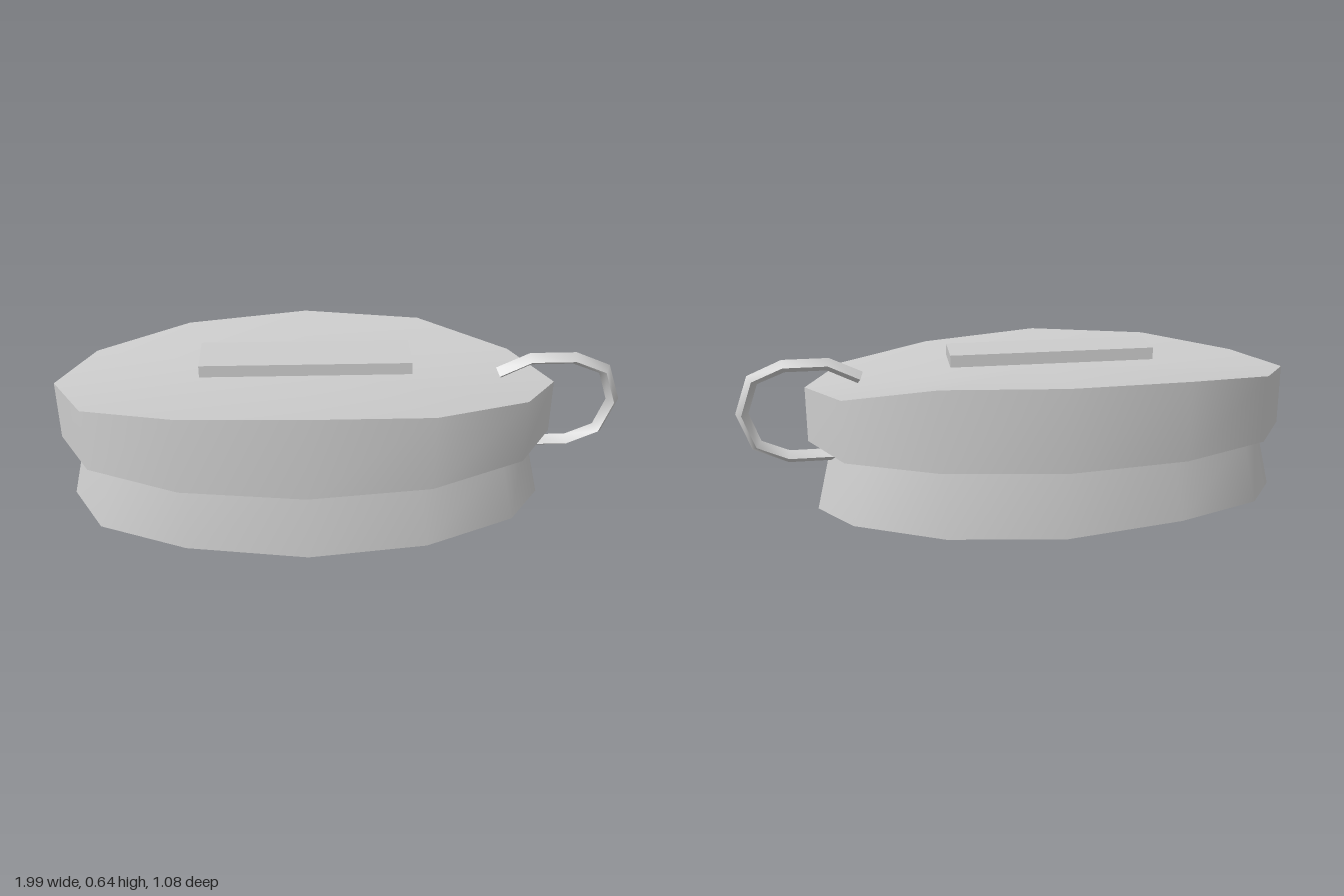
import * as THREE from 'three';
import { toCreasedNormals } from 'three/addons/utils/BufferGeometryUtils.js';

const CREASE = 0.8;
const CENTRE_X = -0.13;

// Twelve-sided outline: x, z, lid top height, lid bottom height, base bottom height
const OUTLINE = [
  [-1.0, -0.4, 0.525, 0.285, 0.015], [-0.79, -0.54, 0.55, 0.28, 0.025],
  [-0.4, -0.54, 0.59, 0.277, 0.03], [0.06, -0.41, 0.605, 0.28, 0.015],
  [0.45, -0.16, 0.6, 0.28, 0.012], [0.71, 0.12, 0.53, 0.285, 0.025],
  [0.74, 0.4, 0.515, 0.295, 0.005], [0.53, 0.535, 0.55, 0.29, 0.02],
  [0.14, 0.535, 0.585, 0.28, 0.015], [-0.3, 0.39, 0.613, 0.275, 0.003],
  [-0.71, 0.15, 0.59, 0.278, 0.015], [-0.97, -0.13, 0.54, 0.283, 0.012],
];

// Outline scaled about its middle, at heights given by a rule
function outlineRing(sx, sz, height) {
  return OUTLINE.map((p) => new THREE.Vector3(CENTRE_X + (p[0] - CENTRE_X) * sx, height(p), p[1] * sz));
}

// Skin a stack of cross-sections and close both ends with fans
function loft(rings) {
  const pos = [];
  const tri = (...pts) => pts.forEach((p) => pos.push(p.x, p.y, p.z));
  const n = rings[0].length;
  const middle = (ring) => ring.reduce((s, p) => s.add(p), new THREE.Vector3()).divideScalar(n);
  const first = rings[0], last = rings[rings.length - 1];
  const start = middle(first), end = middle(last);
  for (let i = 0; i < n; i++) {
    const j = (i + 1) % n;
    for (let k = 0; k < rings.length - 1; k++) {
      const lo = rings[k], hi = rings[k + 1];
      tri(lo[i], hi[i], lo[j]);
      tri(lo[j], hi[i], hi[j]);
    }
    tri(start, first[i], first[j]);
    tri(end, last[j], last[i]);
  }
  const geometry = new THREE.BufferGeometry();
  geometry.setAttribute('position', new THREE.Float32BufferAttribute(pos, 3));
  return toCreasedNormals(geometry, CREASE);
}

// Open loop with a diamond section, lying in a slanted vertical plane
function handleGeometry() {
  const path = [
    [0.55, 0.55], [0.66, 0.608], [0.815, 0.608], [0.925, 0.558],
    [0.968, 0.425], [0.925, 0.295], [0.815, 0.242], [0.62, 0.242],
  ].map(([x, y]) => new THREE.Vector3(x, y, 0.295 + (x - 0.54) * 0.435));
  const side = new THREE.Vector3(-0.435, 0, 1).normalize();
  const rings = path.map((p, i) => {
    const before = path[Math.max(i - 1, 0)], after = path[Math.min(i + 1, path.length - 1)];
    const out = after.clone().sub(before).normalize().cross(side);
    const at = (v, d) => p.clone().addScaledVector(v, d);
    return [at(side, 0.034), at(out, -0.025), at(side, -0.034), at(out, 0.025)];
  });
  return loft(rings);
}

export function createModel() {
  const model = new THREE.Group();
  const grey = new THREE.MeshStandardMaterial({ color: 0xcccccc });
  grey.name = 'light grey';
  const add = (name, geometry) => {
    const mesh = new THREE.Mesh(geometry, grey);
    mesh.name = name;
    model.add(mesh);
    return mesh;
  };

  // Flared lower body
  add('base', loft([outlineRing(0.975, 0.985, (p) => p[4]), outlineRing(0.9, 0.915, () => 0.3)]));

  // Overhanging lid with a wavy rim
  add('lid', loft([outlineRing(1, 1, (p) => p[3]), outlineRing(1, 1, (p) => p[2])]));

  // Flat bar on top of the lid
  const bar = add('topBar', new THREE.BoxGeometry(0.793, 0.047, 0.187));
  bar.position.set(-0.125, 0.624, 0);
  bar.rotation.y = -0.415;

  // Loop handle at the end
  add('handle', handleGeometry());

  return model;
}
